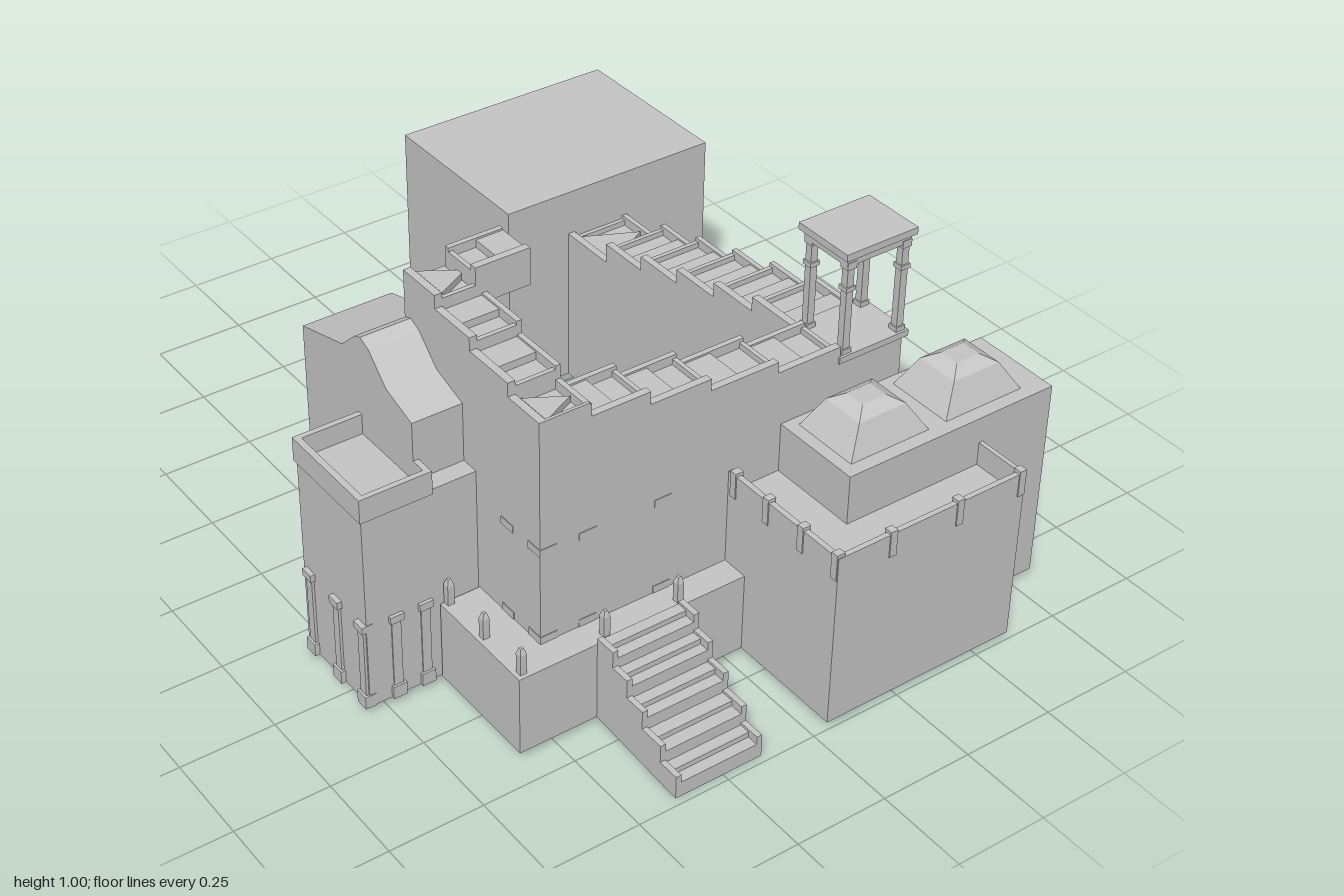
import * as THREE from 'three';

const stone = new THREE.MeshStandardMaterial({ color: 0xc6c6c6 });
stone.name = 'light grey stone';
stone.side = THREE.DoubleSide;

export function createModel() {
  const root = new THREE.Group();
  const GROUND = 0.02;

  const group = (name) => {
    const g = new THREE.Group();
    g.name = name;
    root.add(g);
    return g;
  };
  // Box given by its limits on each axis
  const box = (name, x0, x1, y0, y1, z0, z1, parent = root) => {
    const mesh = new THREE.Mesh(new THREE.BoxGeometry(x1 - x0, y1 - y0, z1 - z0), stone);
    mesh.position.set((x0 + x1) / 2, (y0 + y1) / 2, (z0 + z1) / 2);
    mesh.name = name;
    parent.add(mesh);
  };
  // Outline in x and y, pushed from z0 to z1
  const extrude = (name, points, z0, z1, parent = root) => {
    const shape = new THREE.Shape(points.map(([x, y]) => new THREE.Vector2(x, y)));
    const geo = new THREE.ExtrudeGeometry(shape, { depth: z1 - z0, bevelEnabled: false });
    const mesh = new THREE.Mesh(geo, stone);
    mesh.position.z = z0;
    mesh.name = name;
    parent.add(mesh);
    return mesh;
  };
  // Square column with a foot and a cap
  const column = (name, x, z, y0, y1, w, parent) => {
    box(name, x - w / 2, x + w / 2, y0, y1, z - w / 2, z + w / 2, parent);
    const c = w * 0.68;
    box(name + 'Cap', x - c, x + c, y1 - 0.02, y1, z - c, z + c, parent);
    box(name + 'Foot', x - c, x + c, y0, y0 + 0.02, z - c, z + c, parent);
  };

  // Plain building masses
  box('largeBlock', -1, -0.5, GROUND, 0.597, -0.812, -0.17);
  box('terraceFront', 0.35, 0.675, GROUND, 0.24, -0.04, 0.6);
  box('terraceBack', 0.35, 0.61, GROUND, 0.24, -0.6, -0.04);
  box('domedHall', 0.6, 0.85, GROUND, 0.575, -0.812, -0.19);
  box('sideHall', 0.6, 0.997, GROUND, 0.44, -0.6, -0.04);
  extrude('gabledHouse', [[-0.18, GROUND], [0.295, GROUND], [0.295, 0.735], [0.19, 0.768],
    [0.12, 0.835], [0.085, 0.85], [0.06, 0.84], [0, 0.785], [-0.18, 0.735]], 0.38, 0.625);

  // Parapet of the side hall, with small posts
  const parapet = group('sideHallParapet');
  box('parapetFront', 0.6, 0.997, 0.44, 0.503, -0.055, -0.04, parapet);
  box('parapetSide', 0.983, 0.997, 0.44, 0.503, -0.6, -0.04, parapet);
  box('parapetBack', 0.85, 0.997, 0.44, 0.503, -0.6, -0.588, parapet);
  for (const x of [0.62, 0.74, 0.865, 0.985]) box('parapetPost', x - 0.01, x + 0.01, 0.44, 0.512, -0.06, -0.037, parapet);
  for (const z of [-0.59, -0.4, -0.2]) box('parapetPost', 0.978, 1, 0.44, 0.512, z - 0.01, z + 0.01, parapet);

  // Faceted domes made of two stacked frusta
  const frustum = (name, x, z, y0, y1, a, b, c, d, parent) => {
    const geo = new THREE.BoxGeometry(2, y1 - y0, 2);
    const p = geo.attributes.position;
    for (let i = 0; i < p.count; i++) {
      const top = p.getY(i) > 0;
      p.setX(i, p.getX(i) * (top ? c : a));
      p.setZ(i, p.getZ(i) * (top ? d : b));
    }
    geo.computeVertexNormals();
    const mesh = new THREE.Mesh(geo, stone);
    mesh.position.set(x, (y0 + y1) / 2, z);
    mesh.name = name;
    parent.add(mesh);
  };
  const domes = group('domes');
  for (const z of [-0.627, -0.34]) {
    frustum('domeLower', 0.72, z, 0.575, 0.65, 0.094, 0.117, 0.06, 0.07, domes);
    frustum('domeUpper', 0.72, z, 0.65, 0.67, 0.06, 0.07, 0.028, 0.035, domes);
  }

  // Front tower with parapet and buttresses
  const tower = group('frontTower');
  box('towerBody', 0.067, 0.345, GROUND, 0.575, 0.49, 0.797, tower);
  box('towerParapetFront', 0.06, 0.35, 0.565, 0.63, 0.785, 0.802, tower);
  box('towerParapetBack', 0.06, 0.35, 0.565, 0.63, 0.61, 0.625, tower);
  for (const x of [0.06, 0.335]) box('towerParapetSide', x, x + 0.015, 0.565, 0.63, 0.61, 0.802, tower);
  const buttress = (x0, x1, z0, z1) => {
    box('buttressCap', x0, x1, 0.245, 0.265, z0, z1, tower);
    box('buttressFoot', x0, x1, GROUND, 0.055, z0, z1, tower);
    box('buttressShaft', x0 + 0.006, x1 - 0.006, 0.05, 0.25, z0 + 0.006, z1 - 0.006, tower);
  };
  for (const x of [0.08, 0.2, 0.31]) buttress(x, x + 0.037, 0.78, 0.81);
  for (const z of [0.62, 0.7]) buttress(0.33, 0.354, z, z + 0.037);

  // Terrace posts, and columns under the upper stairs
  const posts = group('terracePosts');
  for (const [x, z] of [[0.655, 0.14], [0.655, 0.35], [0.655, 0.58], [0.505, 0.58], [0.358, 0.58]]) {
    box('terracePost', x - 0.009, x + 0.009, 0.24, 0.295, z - 0.009, z + 0.009, posts);
    frustum('terracePostTip', x, z, 0.295, 0.312, 0.009, 0.009, 0.004, 0.004, posts);
  }
  const columns = group('courtColumns');
  for (const [x, z] of [[0.578, 0.15], [0.578, 0.36], [0.578, 0.468], [0.47, 0.468]]) {
    column('courtColumn', x, z, 0.24, 0.512, 0.035, columns);
  }

  // Stair flight along local x: thin outer wall plus hanging treads.
  // steps = [start, end, wall top]; side = direction in which the treads hang;
  // a landing has a fan-shaped winder instead of a half step
  const flight = (name, steps, width, side, wallBottom, landings = []) => {
    const g = group(name);
    const bar = (part, x0, x1, y0, y1, a, b) =>
      box(part, x0, x1, y0, y1, Math.min(side * a, side * b), Math.max(side * a, side * b), g);
    steps.forEach(([s, e, top], i) => {
      bar('stairWall', s, e, wallBottom, top, 0, 0.008);
      bar('tread', s, e, top - 0.045, top - 0.03, 0, width);
      bar('innerRim', s, e, top - 0.05, top - 0.005, width - 0.014, width);
      bar('outerRim', s, e, top - 0.045, top, 0, 0.02);
      bar('riser', s, s + 0.012, top - 0.075, top - 0.015, 0, width);
      if (landings.includes(i)) {
        const fan = [[s + 0.015, 0.03], [e - 0.005, 0.03], [(s + e) / 2, width - 0.016]];
        const winder = extrude('winder', fan.map(([x, z]) => [x, side * z]), 0, 0.018, g);
        winder.rotation.x = Math.PI / 2;
        winder.position.set(0, top - 0.012, 0);
      } else {
        bar('halfStep', (s + e) / 2, e, top - 0.03, top - 0.01, 0.015, width - 0.012);
      }
    });
    return g;
  };
  // Lower flight, from the large block to the pavilion
  flight('lowerFlight', [[-0.5, -0.33, 0.47], [-0.33, -0.18, 0.525], [-0.18, -0.03, 0.565],
    [-0.03, 0.12, 0.605], [0.12, 0.27, 0.645], [0.27, 0.44, 0.685]], 0.19, -1, GROUND, [0]).position.z = -0.36;
  // Middle flight, climbing toward the front
  const middle = flight('middleFlight', [[-0.36, -0.175, 0.725], [-0.175, 0.02, 0.755], [0.02, 0.19, 0.787],
    [0.19, 0.355, 0.822]], 0.145, 1, GROUND);
  middle.rotation.y = -Math.PI / 2;
  middle.position.x = 0.6;
  box('cornerWall', 0.592, 0.6, GROUND, 0.86, 0.355, 0.49);
  // Upper flight, climbing toward the left of the gable
  const upper = flight('upperFlight', [[-0.6, -0.48, 0.86], [-0.48, -0.33, 0.897], [-0.33, -0.19, 0.932],
    [-0.19, -0.06, 0.968]], 0.14, 1, GROUND, [0, 3]);
  upper.rotation.y = Math.PI;
  upper.position.z = 0.49;
  // Last short flight, hanging free
  const last = flight('lastFlight', [[-0.38, -0.23, 1]], 0.125, -1, 0.9);
  last.rotation.y = Math.PI / 2;
  last.position.x = 0.19;

  // Open pavilion on the corner of the walls
  const pavilion = group('pavilion');
  box('pavilionFloor', 0.43, 0.605, 0.68, 0.697, -0.565, -0.355, pavilion);
  box('pavilionWallFront', 0.44, 0.6, GROUND, 0.69, -0.368, -0.36, pavilion);
  box('pavilionWallSide', 0.592, 0.6, GROUND, 0.69, -0.55, -0.36, pavilion);
  for (const x of [0.455, 0.585]) {
    for (const z of [-0.545, -0.38]) {
      column('pavilionColumn', x, z, 0.69, 0.95, 0.02, pavilion);
      box('columnRing', x - 0.014, x + 0.014, 0.87, 0.882, z - 0.014, z + 0.014, pavilion);
    }
  }
  box('pavilionBeam', 0.443, 0.597, 0.94, 0.965, -0.558, -0.366, pavilion);
  box('pavilionRoof', 0.432, 0.607, 0.963, 0.982, -0.567, -0.355, pavilion);

  // Entrance steps down from the terrace, with low side rims
  const entrance = group('entranceSteps');
  const edges = [0.675, 0.735, 0.79, 0.85, 0.92, 0.98];
  const tops = [0.235, 0.19, 0.14, 0.09, 0.042];
  const sawtooth = (lift) => {
    const line = [[0.675, GROUND], [0.98, 0]];
    for (let i = 4; i >= 0; i--) line.push([edges[i + 1], tops[i] + lift], [edges[i], tops[i] + lift]);
    return line;
  };
  extrude('entranceTreads', sawtooth(0), 0.155, 0.37, entrance);
  for (const z of [0.14, 0.37]) extrude('entranceRim', sawtooth(0.022), z, z + 0.015, entrance);
  for (let i = 0; i < 5; i++) {
    box('entranceHalfStep', edges[i], (edges[i] + edges[i + 1]) / 2, tops[i], tops[i] + 0.015, 0.155, 0.37, entrance);
  }
  return root;
}
